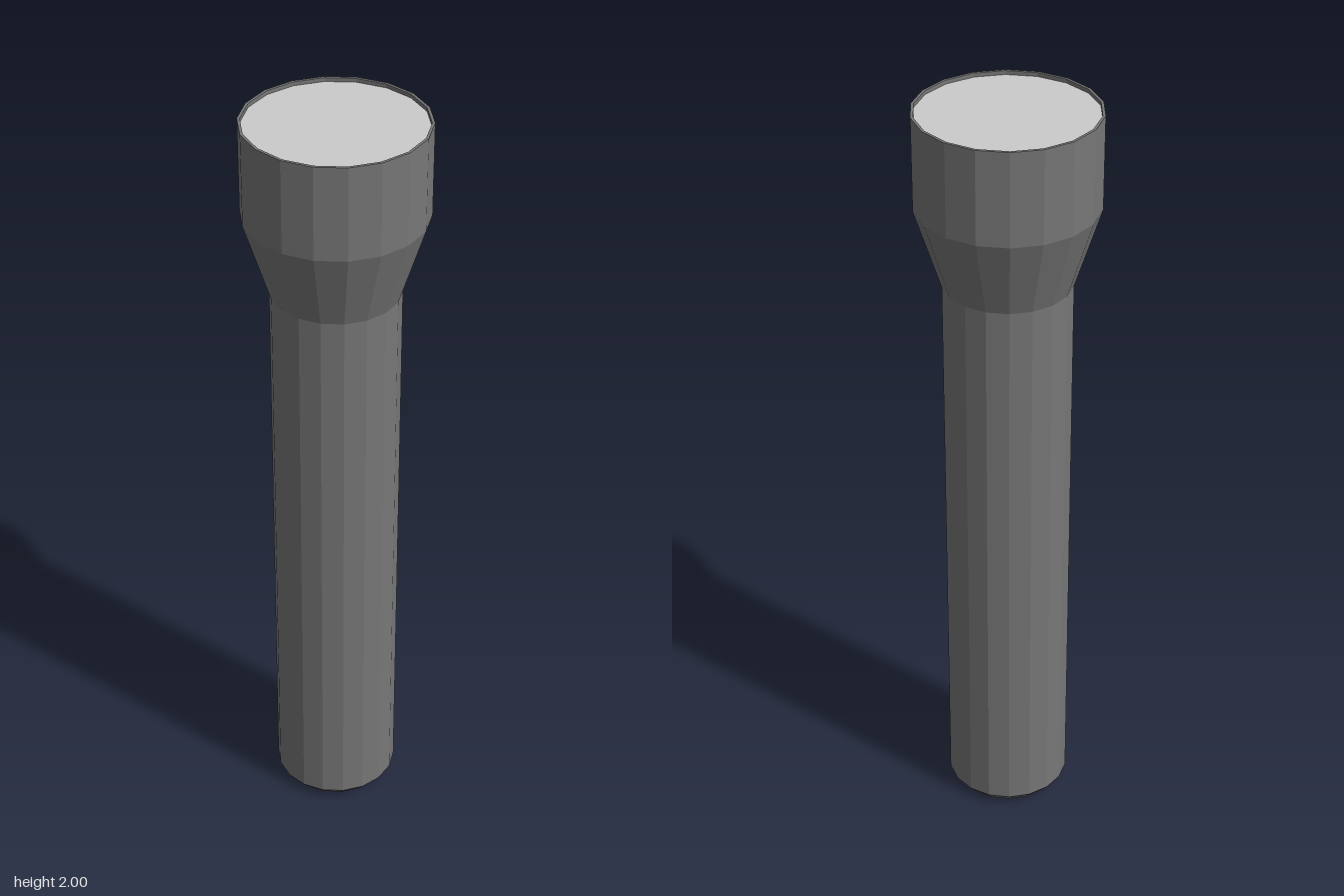
import * as THREE from 'three';

const SIDES = 18;

// Faceted solid of revolution with a corner on the x axis
function turned(name, profile, color) {
  const points = profile.map(([r, y]) => new THREE.Vector2(r, y));
  const geometry = new THREE.LatheGeometry(points, SIDES, Math.PI / 2);
  const material = new THREE.MeshStandardMaterial({ color, flatShading: true });
  const mesh = new THREE.Mesh(geometry, material);
  mesh.name = name;
  return mesh;
}

export function createModel() {
  const group = new THREE.Group();
  group.name = 'flashlight';

  // Handle with bevelled tail, flared head and a thin raised rim
  group.add(turned('body', [
    [0, 0], [0.138, 0], [0.162, 0.028],
    [0.162, 1.55], [0.228, 1.76], [0.228, 2],
    [0.221, 2], [0.221, 1.99],
  ], 0x777777));

  // Flat lens set just below the rim
  const lens = new THREE.Mesh(
    new THREE.CircleGeometry(0.221, SIDES).rotateX(-Math.PI / 2),
    new THREE.MeshStandardMaterial({ color: 0xcccccc, flatShading: true }),
  );
  lens.name = 'lens';
  lens.position.y = 1.99;
  group.add(lens);

  return group;
}
